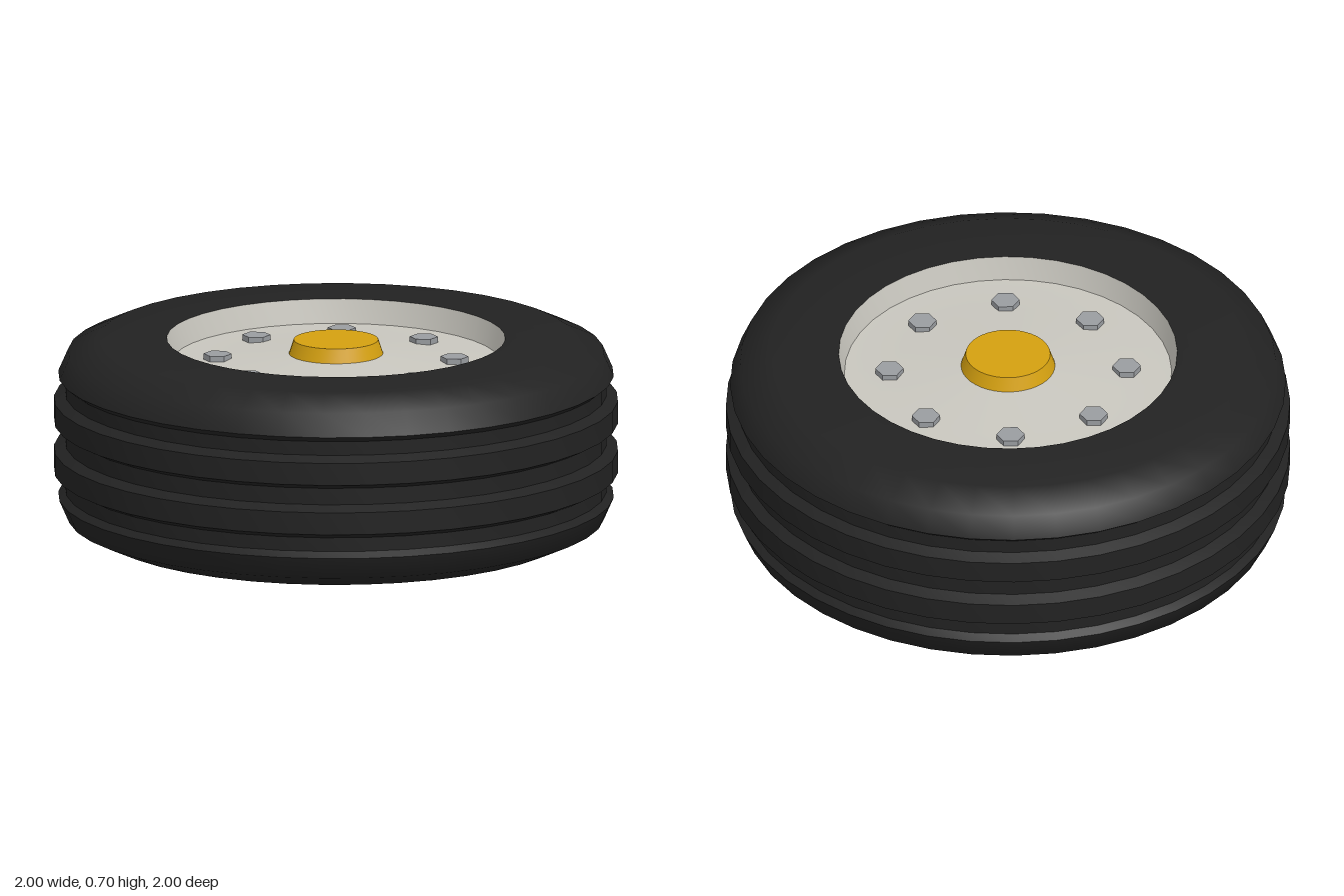
import * as THREE from 'three';
import { toCreasedNormals } from 'three/addons/utils/BufferGeometryUtils.js';

const HEIGHT = 0.7;
const SEGMENTS = 40;

function material(name, color) {
  const m = new THREE.MeshStandardMaterial({ color });
  m.name = name;
  return m;
}

// Completes a lower half profile with its mirror image about mid height
function mirrored(half) {
  return [...half, ...half.map(([r, y]) => [r, HEIGHT - y]).reverse()];
}

function lathe(points, crease) {
  const profile = points.map(([r, y]) => new THREE.Vector2(r, y));
  return toCreasedNormals(new THREE.LatheGeometry(profile, SEGMENTS), crease);
}

export function createModel() {
  const model = new THREE.Group();
  model.name = 'wheel';
  const rubber = material('black rubber', 0x222222);
  const paint = material('light grey paint', 0xc8c6be);
  const steel = material('bolt steel', 0x999ca0);
  const gold = material('yellow hub', 0xd4a010);

  function add(name, geometry, mat, parent = model) {
    const mesh = new THREE.Mesh(geometry, mat);
    mesh.name = name;
    parent.add(mesh);
    return mesh;
  }

  // Tyre: flat sidewalls, rounded shoulders and three tread grooves
  const tyre = mirrored([
    [0.6, 0], [0.84, 0], [0.95, 0.05], [0.985, 0.13],
    [0.96, 0.15], [0.96, 0.2], [1, 0.22], [1, 0.3], [0.96, 0.32],
  ]);
  add('tyre', lathe(tyre, 0.8), rubber);

  // Wheel discs, slightly coned towards the hub, with recessed rim walls
  const side = [[0.6, HEIGHT], [0.58, 0.615], [0.4, 0.618], [0.17, 0.645], [0, 0.645]];
  add('upperRim', lathe(side, 0.8), paint);
  const lower = side.map(([r, y]) => [r, HEIGHT - y]).reverse();
  add('lowerRim', lathe(lower, 0.8), paint);

  // Hub caps and a ring of eight hex bolts on both faces
  const cap = toCreasedNormals(new THREE.CylinderGeometry(0.15, 0.17, 0.06, SEGMENTS), 0.6);
  const bolt = toCreasedNormals(new THREE.CylinderGeometry(0.05, 0.05, 0.04, 6).rotateY(Math.PI / 6), 0.6);
  for (const face of ['upper', 'lower']) {
    const group = new THREE.Group();
    group.name = face + 'Fittings';
    group.position.y = HEIGHT / 2;
    if (face === 'lower') group.rotation.x = Math.PI;
    add('hubCap', cap, gold, group).position.y = 0.315;
    for (let i = 0; i < 8; i++) {
      const a = (i * Math.PI) / 4;
      add('bolt', bolt, steel, group).position.set(0.42 * Math.cos(a), 0.268, 0.42 * Math.sin(a));
    }
    model.add(group);
  }
  return model;
}
